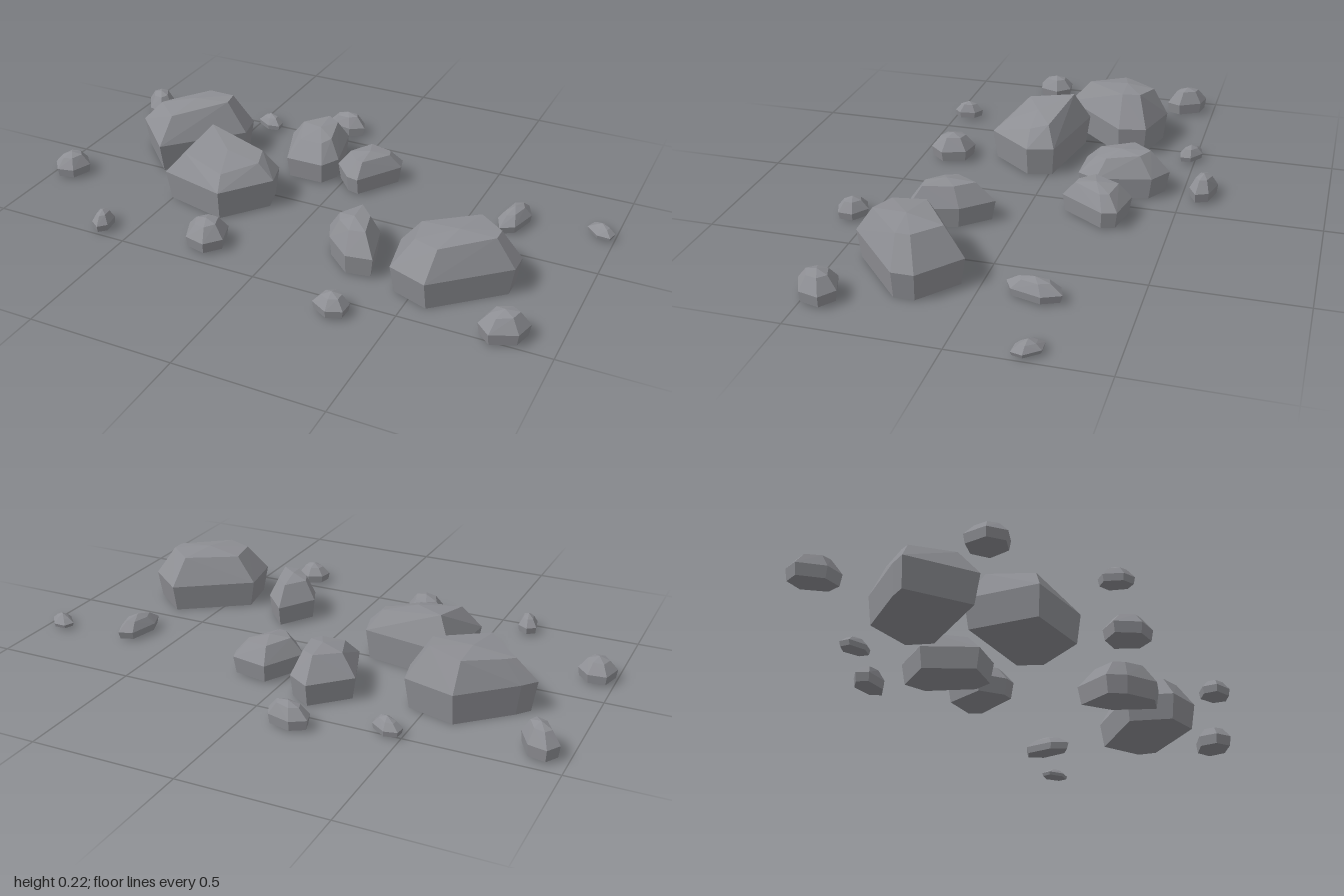
import * as THREE from 'three';
import { ConvexGeometry } from 'three/addons/geometries/ConvexGeometry.js';

const stone = new THREE.MeshStandardMaterial({ color: 0x8e8f94, flatShading: true });
stone.name = 'grey stone';

// Faceted stone: narrow foot, wide waist, tilted crown and a low peak
function rock(name, outline, { foot, waist, top, crown, tiltX = 0, tiltZ = 0 }) {
  const cx = outline.reduce((sum, p) => sum + p[0], 0) / outline.length;
  const cz = outline.reduce((sum, p) => sum + p[1], 0) / outline.length;
  const points = [new THREE.Vector3(cx, top + 0.012, cz)];
  for (const [x, z] of outline) {
    const dx = x - cx, dz = z - cz;
    points.push(
      new THREE.Vector3(cx + dx * 0.92, foot, cz + dz * 0.92),
      new THREE.Vector3(x, waist, z),
      new THREE.Vector3(cx + dx * crown, top + crown * (dx * tiltX + dz * tiltZ), cz + dz * crown),
    );
  }
  const mesh = new THREE.Mesh(new ConvexGeometry(points), stone);
  mesh.name = name;
  return mesh;
}

// Small stone: a lopsided hexagon stretched, turned and placed
function pebble(name, x, z, halfLength, halfWidth, angle, height) {
  const radii = [1, 1.08, 1.15, 0.98, 1.12, 1.05];
  const outline = radii.map((r, i) => {
    const a = i * Math.PI / 3 + 0.15;
    const u = Math.cos(a) * r * halfLength, v = Math.sin(a) * r * halfWidth;
    return [x + u * Math.cos(angle) - v * Math.sin(angle), z + u * Math.sin(angle) + v * Math.cos(angle)];
  });
  return rock(name, outline, { foot: 0.012, waist: height * 0.5, top: height - 0.008, crown: 0.56, tiltX: 0.08 });
}

export function createModel() {
  const group = new THREE.Group();
  group.name = 'scatteredRocks';

  // Large boulders
  group.add(
    rock('boulderLeft', [[-.61, -.36], [-.43, -.31], [-.41, -.21], [-.64, .03], [-.82, -.15], [-.78, -.2]],
      { foot: .005, waist: .11, top: .205, crown: .65, tiltX: .14 }),
    rock('boulderCentre', [[-.5, -.08], [-.17, -.02], [-.145, .075], [-.275, .24], [-.52, .18]],
      { foot: .005, waist: .11, top: .183, crown: .68, tiltX: -.13, tiltZ: -.2 }),
    rock('boulderBack', [[-.15, -.45], [-.07, -.4], [-.025, -.21], [-.06, -.14], [-.2, -.14], [-.27, -.33]],
      { foot: .008, waist: .085, top: .152, crown: .6, tiltZ: -.1 }),
    rock('boulderBackSmall', [[.05, -.355], [.18, -.33], [.195, -.28], [.09, -.12], [.045, -.13], [-.025, -.21]],
      { foot: .01, waist: .07, top: .122, crown: .62, tiltX: -.05 }),
    rock('boulderRight', [[.65, .045], [.79, .16], [.79, .235], [.565, .44], [.43, .39], [.4, .22]],
      { foot: .005, waist: .1, top: .196, crown: .65, tiltX: .04 }),
    rock('boulderFront', [[.22, .08], [.31, .18], [.355, .35], [.265, .365], [.17, .28], [.14, .21]],
      { foot: .01, waist: .08, top: .147, crown: .6, tiltX: .04 }),
  );

  // Small stones around them
  group.add(
    pebble('pebbleFarLeftBack', -.9, -.395, .085, .048, .95, .105),
    pebble('pebbleFarLeft', -.937, .167, .07, .058, 1.75, .085),
    pebble('pebbleLeftFront', -.61, .447, .056, .033, 1.3, .07),
    pebble('pebbleFront', -.235, .385, .083, .068, 1.1, .1),
    pebble('pebbleFrontMost', .312, .562, .062, .048, .45, .075),
    pebble('pebbleRightFront', .83, .455, .082, .062, -.5, .1),
    pebble('pebbleRightBack', .66, -.178, .1, .043, 1.75, .075),
    pebble('pebbleFarRight', .95, -.24, .058, .034, .75, .048),
    pebble('pebbleLeftBack', -.445, -.483, .06, .033, .5, .06),
    pebble('pebbleBackMost', -.15, -.572, .08, .042, .15, .09),
  );
  return group;
}
